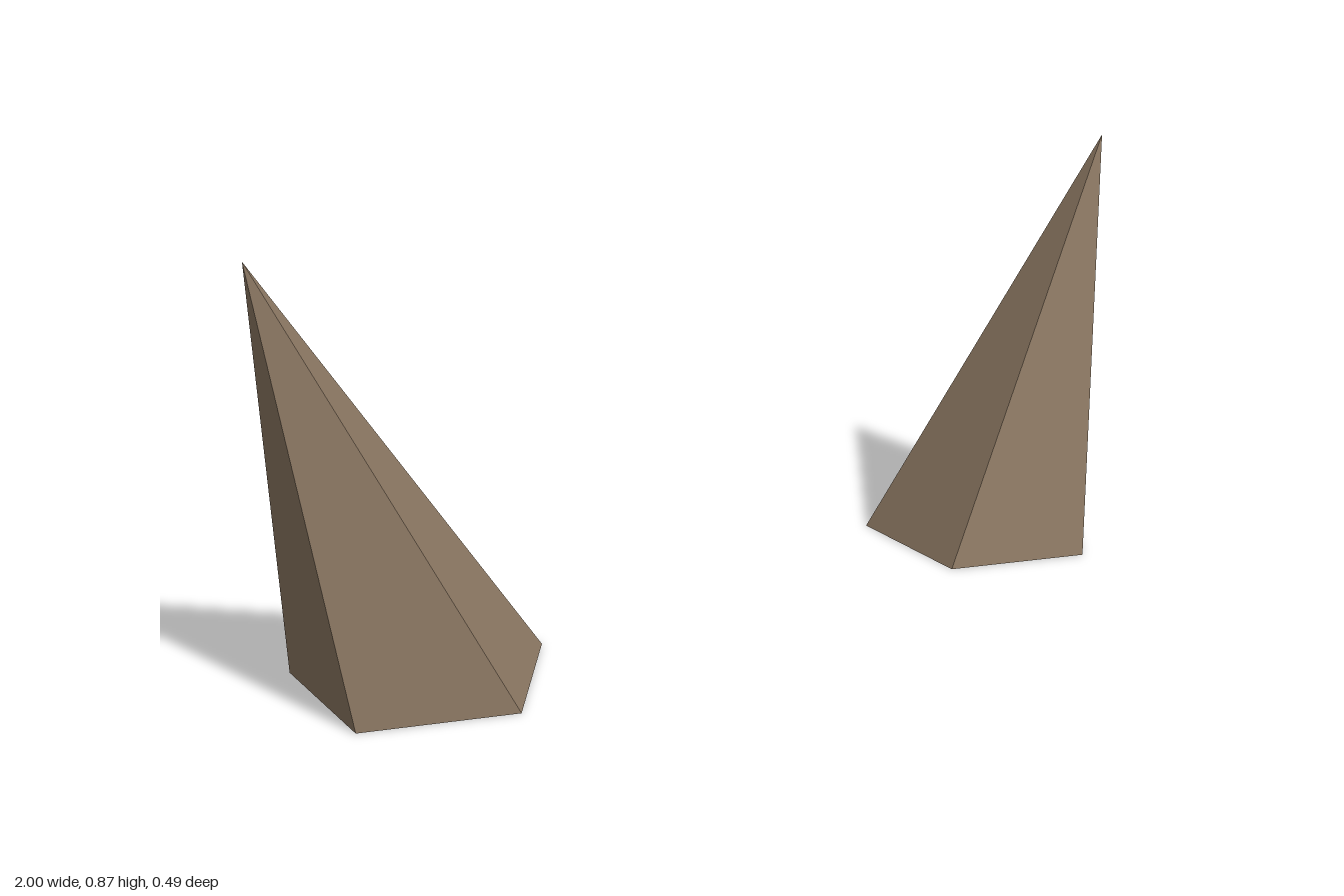
import * as THREE from 'three';

const RADIUS = 0.26;
const HEIGHT = 0.866;
const BASE_X = 0.696; // base centre, distance from the middle
const LEAN = 0.304; // outward shift of the tip

// Five-sided spike, sheared so its tip leans along x
function leaningSpike(lean) {
  const geometry = new THREE.ConeGeometry(RADIUS, HEIGHT, 5, 1, false, Math.PI / 2);
  geometry.translate(0, HEIGHT / 2, 0);
  const shear = new THREE.Matrix4().set(
    1, lean / HEIGHT, 0, 0,
    0, 1, 0, 0,
    0, 0, 1, 0,
    0, 0, 0, 1
  );
  geometry.applyMatrix4(shear);
  return geometry;
}

export function createModel() {
  const model = new THREE.Group();
  model.name = 'hornPair';

  const horn = new THREE.MeshStandardMaterial({ color: 0x8b7762, flatShading: true });
  horn.name = 'hornBrown';

  // Both horns keep a base corner towards +x; only the lean is mirrored
  for (const [name, side] of [['leftHorn', 1], ['rightHorn', -1]]) {
    const mesh = new THREE.Mesh(leaningSpike(side * LEAN), horn);
    mesh.name = name;
    mesh.position.x = side * BASE_X;
    model.add(mesh);
  }
  return model;
}
